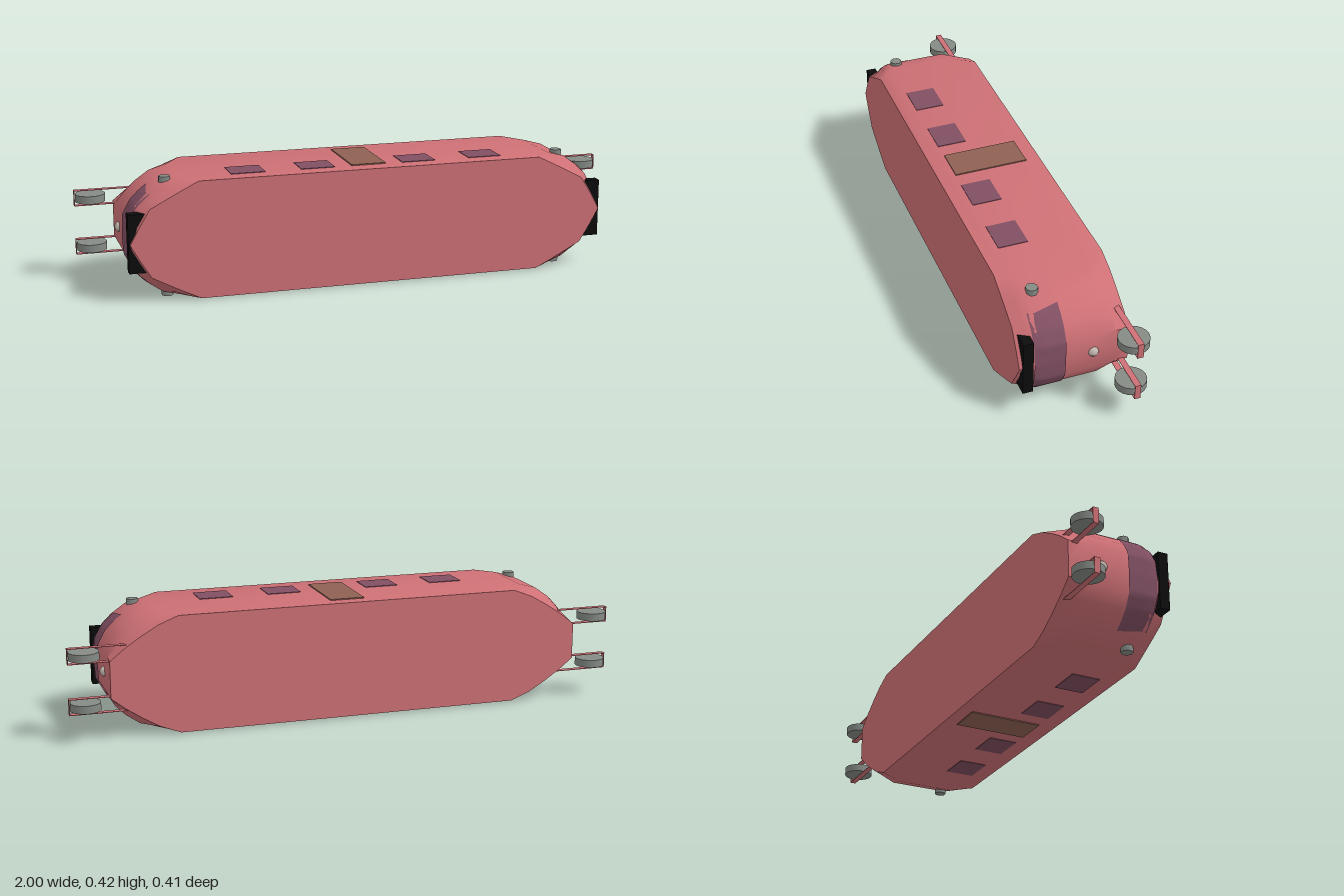
import * as THREE from 'three';
import { toCreasedNormals } from 'three/addons/utils/BufferGeometryUtils.js';

const CY = 0.2125; // height of the horizontal symmetry plane

// Quarter outlines [x, height above centre] at four stations along z
const nose = [[0.62, 0.2075], [0.68, 0.178], [0.74, 0.147], [0.79, 0.12], [0.83, 0.055], [0.86, 0]];
const mid = [[0.68, 0.2075], [0.745, 0.19], [0.795, 0.155], [0.83, 0.12], [0.857, 0.07], [0.86, 0]];
const tail = [[0.62, 0.2075], [0.69, 0.18], [0.75, 0.145], [0.81, 0.105], [0.86, 0.065], [0.86, 0]];
const stations = [[0.205, nose], [0.14, mid], [-0.08, mid], [-0.175, tail]];

// Quarter outline blended between stations
function quarter(z) {
  let k = 0;
  while (k < 2 && z < stations[k + 1][0]) k++;
  const [z0, p] = stations[k], [z1, q] = stations[k + 1];
  const t = (z0 - z) / (z0 - z1);
  return p.map((a, i) => [a[0] + (q[i][0] - a[0]) * t, a[1] + (q[i][1] - a[1]) * t]);
}

// Full mirrored outline
function ring(z) {
  const q = quarter(z);
  const right = [...q, ...q.slice(0, -1).reverse().map(([x, y]) => [x, -y])];
  return [...right, ...right.slice().reverse().map(([x, y]) => [-x, y])];
}

// Half length of the hull at a given z and height above centre
function reach(z, dy) {
  const q = quarter(z), h = Math.abs(dy);
  for (let i = 0; i < q.length - 1; i++) {
    const [x0, y0] = q[i], [x1, y1] = q[i + 1];
    if (h <= y0 && h >= y1) return x0 + (x1 - x0) * (y0 - h) / (y0 - y1);
  }
  return q[0][0];
}

function hullGeometry() {
  const zs = [0.205, 0.1725, 0.14, 0.03, -0.08, -0.1275, -0.175];
  const pos = [], index = [], n = ring(0).length;
  zs.forEach(z => ring(z).forEach(([x, y]) => pos.push(x, y + CY, z)));
  for (let j = 0; j < zs.length - 1; j++) {
    for (let i = 0; i < n; i++) {
      const a = j * n + i, b = j * n + (i + 1) % n;
      index.push(a, b, a + n, b, b + n, a + n);
    }
  }
  const g = new THREE.BufferGeometry();
  g.setAttribute('position', new THREE.Float32BufferAttribute(pos, 3));
  g.setIndex(index);
  return toCreasedNormals(g, 0.7);
}

export function createModel() {
  const model = new THREE.Group();
  const mat = (color, side = THREE.FrontSide) => new THREE.MeshStandardMaterial({ color, side });
  const red = mat(0xcd7075), glass = mat(0x804f62), doorMat = mat(0x8f6153);
  const black = mat(0x0c0c0c), grey = mat(0x858a85), pale = mat(0xc4b8b0);
  const screenMat = mat(0x804f62, THREE.DoubleSide);

  function add(name, geometry, material, x = 0, y = 0, z = 0) {
    const m = new THREE.Mesh(geometry, material);
    m.name = name;
    m.position.set(x, y, z);
    model.add(m);
    return m;
  }
  const box = (w, h, d) => new THREE.BoxGeometry(w, h, d);

  // Hull and its two flat sides
  add('hull', hullGeometry(), red);
  const side = z => new THREE.ShapeGeometry(new THREE.Shape(ring(z).map(p => new THREE.Vector2(...p))));
  add('frontSide', side(0.205), red, 0, CY, 0.205);
  add('backSide', side(-0.175).rotateY(Math.PI), red, 0, CY, -0.175);

  // Windows and doors on the upper and lower faces
  for (const v of [-1, 1]) {
    const y = CY + v * 0.2075;
    for (const x of [-0.435, -0.185, 0.185, 0.435]) {
      add('window', box(0.122, 0.004, 0.105), glass, x, y, 0.09);
    }
    add('door', box(0.125, 0.008, 0.265), doorMat, 0, y, 0.008);
  }

  for (const s of [-1, 1]) {
    // Curved windscreen wrapped around each end
    const screen = new THREE.PlaneGeometry(1, 1, 28, 4);
    const p = screen.attributes.position;
    for (let i = 0; i < p.count; i++) {
      const v = p.getY(i) + 0.5;
      const z = 0.045 + 0.108 * v;
      const dy = p.getX(i) * 2 * (0.172 - 0.014 * v);
      p.setXYZ(i, s * (reach(z, dy) + 0.004), CY + dy, z);
    }
    screen.computeVertexNormals();
    add('windscreen', screen, screenMat);

    // Display board and end knob
    add('displayBoard', box(0.07, 0.207, 0.036), black, s * 0.83, CY, 0.176);
    add('endKnob', new THREE.SphereGeometry(0.02, 8, 6).rotateZ(Math.PI / 2), pale, s * 0.855, CY, -0.052);

    for (const v of [-1, 1]) {
      // Lamp on the corner
      add('lamp', new THREE.CylinderGeometry(0.021, 0.021, 0.024, 8).rotateY(Math.PI / 8),
        grey, s * 0.723, CY + v * 0.2, 0.113);

      // Wheel held in a thin fork
      const y = CY + v * 0.0885;
      add('wheel', new THREE.CylinderGeometry(0.053, 0.053, 0.028, 20), grey, s * 0.943, y, -0.152);
      for (const k of [-1, 1]) {
        add('forkArm', box(0.24, 0.002, 0.021), red, s * 0.879, y + k * 0.027, -0.152);
      }
      add('forkEnd', box(0.002, 0.056, 0.021), red, s * 0.999, y, -0.152);
    }
  }
  return model;
}
